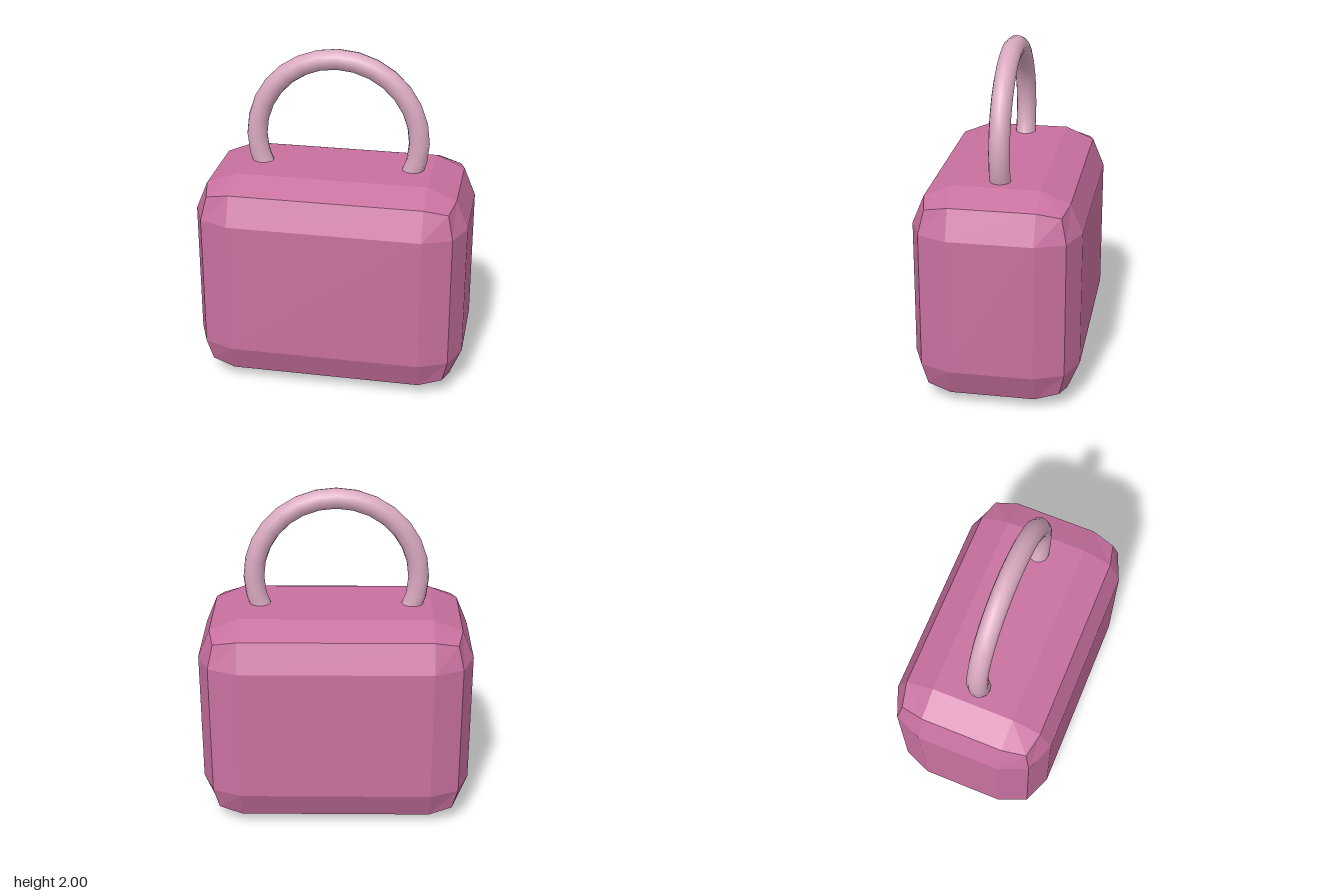
import * as THREE from 'three';
import { RoundedBoxGeometry } from 'three/addons/geometries/RoundedBoxGeometry.js';

export function createModel() {
  const model = new THREE.Group();
  model.name = 'padlock';

  // Chunky bevelled body: two flat facets round every edge
  const body = new THREE.Mesh(
    new RoundedBoxGeometry(1.61, 1.29, 0.97, 1, 0.24),
    new THREE.MeshStandardMaterial({ color: 0xc8709f, flatShading: true })
  );
  body.name = 'body';
  body.position.y = 0.645;
  model.add(body);

  // Round shackle: part of a ring whose ends sink into the body
  const step = (Math.PI * 2) / 28;
  const shackle = new THREE.Mesh(
    new THREE.TorusGeometry(0.484, 0.061, 12, 20, step * 20),
    new THREE.MeshStandardMaterial({ color: 0xd9a9c0 })
  );
  shackle.name = 'shackle';
  shackle.position.y = 1.455;
  shackle.rotation.z = -step * 3;
  model.add(shackle);

  return model;
}
